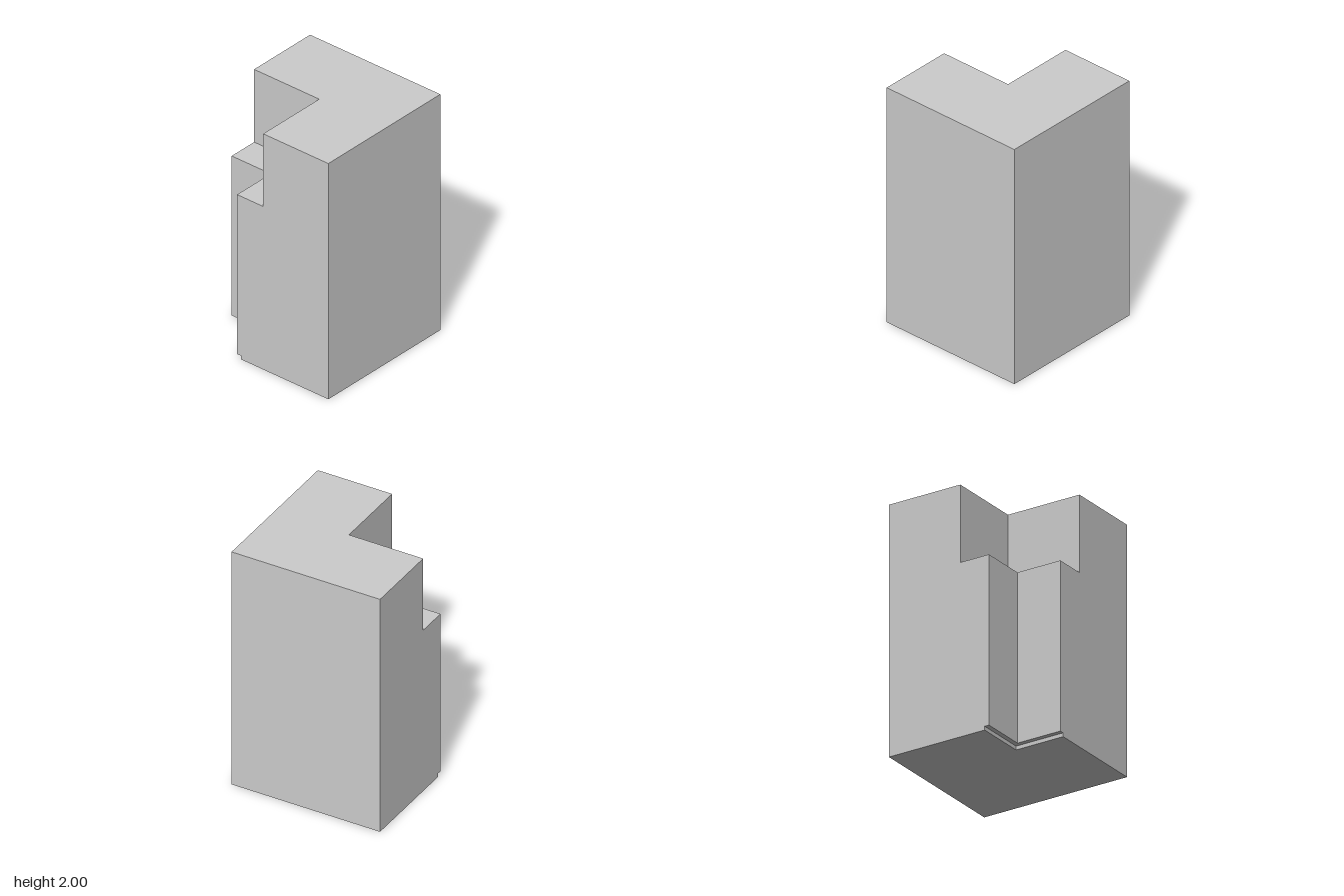
import * as THREE from 'three';

const HALF = 0.617; // half width of the square plan

// Square block with its back right corner cut away, leaving the corner at (-notch, -notch)
function notchedBlock(name, notch, bottom, top, material) {
  const shape = new THREE.Shape([
    [-HALF, -HALF], [HALF, -HALF], [HALF, HALF],
    [-notch, HALF], [-notch, notch], [-HALF, notch],
  ].map(([x, y]) => new THREE.Vector2(x, y)));
  const geometry = new THREE.ExtrudeGeometry(shape, { depth: top - bottom, bevelEnabled: false });
  geometry.rotateX(-Math.PI / 2); // plan lies flat, plan +y becomes the back
  const mesh = new THREE.Mesh(geometry, material);
  mesh.name = name;
  mesh.position.y = bottom;
  return mesh;
}

export function createModel() {
  const model = new THREE.Group();
  model.name = 'notchedCabinet';
  const material = new THREE.MeshStandardMaterial({ color: 0xcccccc, flatShading: true });

  model.add(
    // thin plinth, set back inside the notch
    notchedBlock('plinth', 0.21, 0, 0.03, material),
    // tall body with the small notch
    notchedBlock('lowerBody', 0.247, 0.03, 1.383, material),
    // upper body with the larger notch, leaving a ledge
    notchedBlock('upperBody', 0, 1.383, 2, material),
  );
  return model;
}
